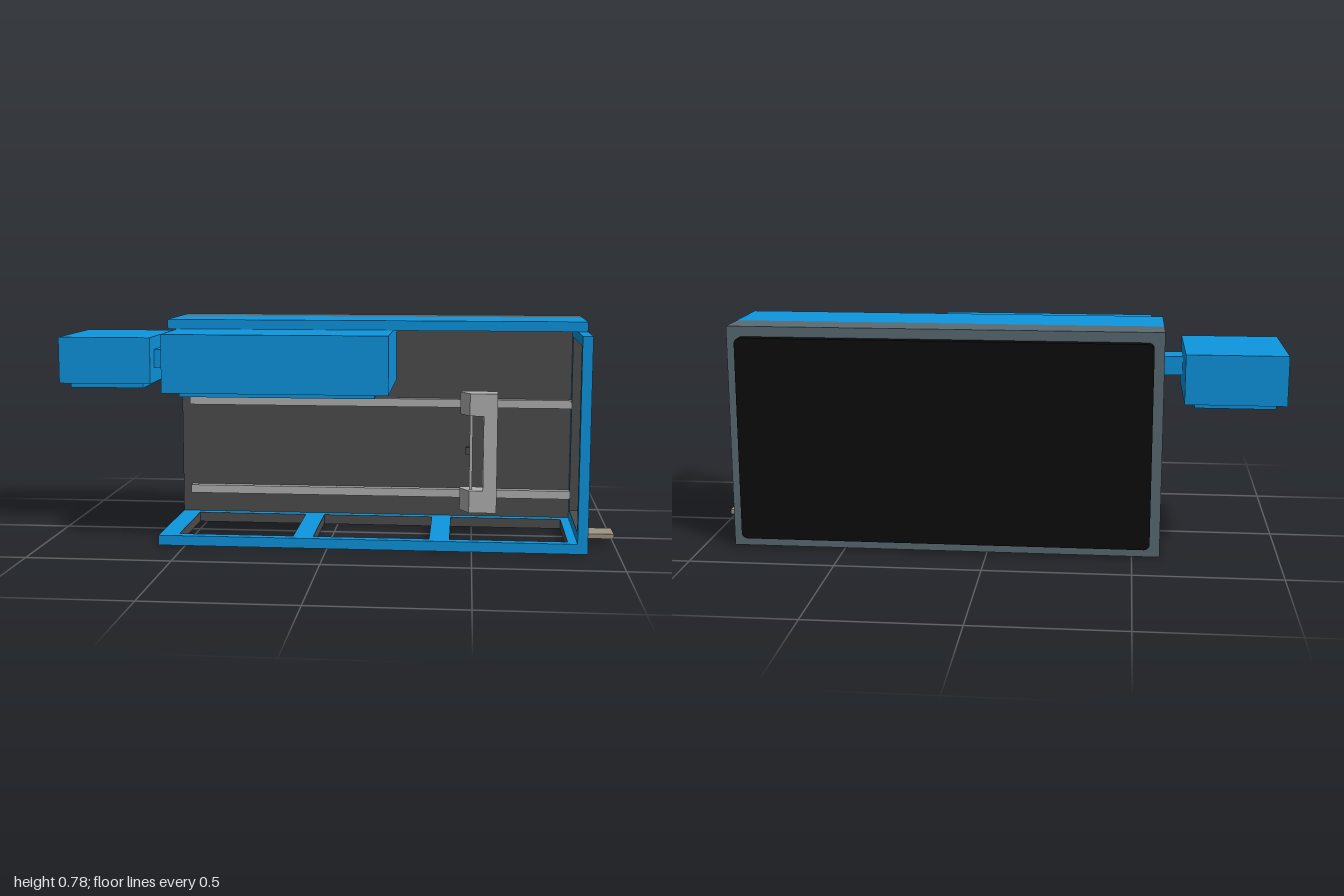
import * as THREE from 'three';

const mat = (color) => new THREE.MeshStandardMaterial({ color });

export function createModel() {
  const model = new THREE.Group();
  const blue = mat(0x0d96e0), slate = mat(0x5a6b72), dark = mat(0x4d4d4d);
  const black = mat(0x0c0c0c), steel = mat(0xb2b2b2), beige = mat(0xa09684);

  const add = (name, geometry, material, parent = model) => {
    const mesh = new THREE.Mesh(geometry, material);
    mesh.name = name;
    parent.add(mesh);
    return mesh;
  };
  // box given by its limits on each axis
  const box = (name, material, [x0, x1], [y0, y1], [z0, z1], parent) => {
    const g = new THREE.BoxGeometry(x1 - x0, y1 - y0, z1 - z0);
    g.translate((x0 + x1) / 2, (y0 + y1) / 2, (z0 + z1) / 2);
    return add(name, g, material, parent);
  };
  const trace = (path, u0, u1, v0, v1) => {
    path.moveTo(u0, v0).lineTo(u1, v0).lineTo(u1, v1).lineTo(u0, v1).closePath();
    return path;
  };
  // flat plate with rectangular openings, each lined with a thin dark edge
  const frame = (name, outer, openings, depth) => {
    const group = new THREE.Group();
    group.name = name;
    const shape = trace(new THREE.Shape(), ...outer);
    const opts = { depth, bevelEnabled: false };
    const t = 0.002;
    for (const o of openings) {
      shape.holes.push(trace(new THREE.Path(), ...o));
      const lining = trace(new THREE.Shape(), ...o);
      lining.holes.push(trace(new THREE.Path(), o[0] + t, o[1] - t, o[2] + t, o[3] - t));
      add('openingLining', new THREE.ExtrudeGeometry(lining, opts), dark, group);
    }
    add('framePlate', new THREE.ExtrudeGeometry(shape, opts), blue, group);
    model.add(group);
    return group;
  };

  // rear cabinet, dark inner wall and black back panel
  box('rearCabinet', slate, [-0.595, 0.895], [0, 0.78], [-0.305, -0.172]);
  box('innerWall', dark, [-0.595, 0.895], [0.035, 0.745], [-0.172, -0.168]);
  const panel = new THREE.Shape();
  const r = 0.02, [px0, px1, py0, py1] = [-0.56, 0.86, 0.035, 0.745];
  panel.absarc(px1 - r, py1 - r, r, 0, Math.PI / 2);
  panel.absarc(px0 + r, py1 - r, r, Math.PI / 2, Math.PI);
  panel.absarc(px0 + r, py0 + r, r, Math.PI, Math.PI * 1.5);
  panel.absarc(px1 - r, py0 + r, r, Math.PI * 1.5, Math.PI * 2);
  const panelGeo = new THREE.ExtrudeGeometry(panel, { depth: 0.035, bevelEnabled: false, curveSegments: 6 });
  add('backPanel', panelGeo.translate(0, 0, -0.34), black);

  // roof slab
  box('roof', blue, [-0.595, 0.895], [0.745, 0.78], [-0.172, 0.065]);

  // base frame with three openings (shape plane is x, -z)
  const bays = [0, 1, 2].map((i) => {
    const x = -0.528 + i * 0.475;
    return [x, x + 0.408, -0.24, 0.135];
  });
  const base = frame('baseFrame', [-0.595, 0.895, -0.273, 0.172], bays, 0.035);
  base.rotation.x = -Math.PI / 2;

  // upright side frame (shape plane is -z, y)
  const side = frame('sideFrame', [-0.273, 0.172, 0, 0.745], [[-0.24, 0.135, 0.068, 0.713]], 0.035);
  side.rotation.y = Math.PI / 2;
  side.position.x = 0.86;

  // large head unit with three lips underneath
  box('headUnit', blue, [-0.56, 0.215], [0.545, 0.746], [-0.17, 0.34]);
  for (const z of [0.262, 0.162, 0.06]) {
    box('headLip', blue, [-0.51, 0.165], [0.527, 0.546], [z - 0.025, z + 0.025]);
  }

  // outboard unit joined by a short duct
  box('duct', blue, [-0.665, -0.56], [0.6, 0.665], [-0.105, 0]);
  box('outboardUnit', blue, [-1, -0.663], [0.545, 0.713], [-0.34, 0.065]);
  box('outboardBase', blue, [-0.967, -0.697], [0.527, 0.546], [-0.305, 0.033]);

  // guide rails
  for (const y of [0.125, 0.463]) {
    box('guideRail', steel, [-0.56, 0.86], [y - 0.015, y + 0.015], [-0.17, -0.138]);
  }

  // sliding carriage: column, two end blocks with a cut front corner, blade and knob
  const carriage = new THREE.Group();
  carriage.name = 'carriage';
  model.add(carriage);
  box('carriageColumn', steel, [0.54, 0.59], [0.15, 0.435], [-0.135, -0.05], carriage);
  const block = new THREE.Shape(
    [[0.455, 0.135], [0.455, 0.11], [0.49, 0.05], [0.59, 0.05], [0.59, 0.135]].map((p) => new THREE.Vector2(...p))
  );
  for (const y of [0.07, 0.428]) {
    const g = new THREE.ExtrudeGeometry(block, { depth: 0.082, bevelEnabled: false });
    g.rotateX(-Math.PI / 2).translate(0, y, 0);
    add('carriageBlock', g, steel, carriage);
  }
  box('carriageBlade', steel, [0.49, 0.501], [0.15, 0.43], [-0.135, -0.08], carriage);
  box('carriageKnob', dark, [0.475, 0.49], [0.277, 0.305], [-0.12, -0.095], carriage);

  // small tab on the side frame
  box('sideTab', beige, [0.89, 1], [0.018, 0.035], [0, 0.102]);

  return model;
}
